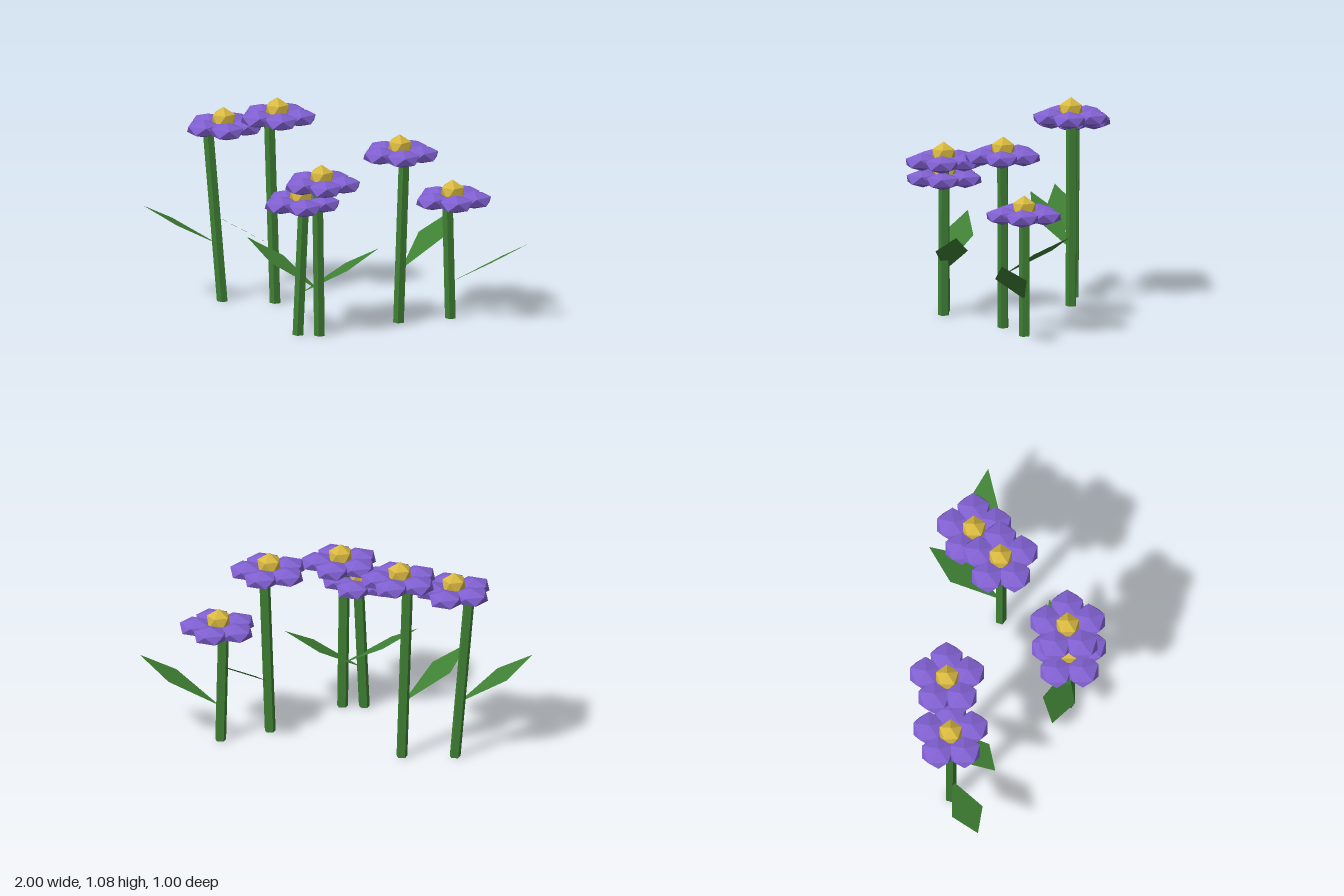
import * as THREE from 'three';

const mat = (name, color, side = THREE.FrontSide) => {
  const m = new THREE.MeshStandardMaterial({ color, side });
  m.name = name;
  return m;
};

// Faceted ball with a corner at the top and the upper ring pointing to +x
function facetedBall(radius, squash = 1) {
  const g = new THREE.IcosahedronGeometry(radius, 0);
  g.rotateX(-Math.atan((1 + Math.sqrt(5)) / 2));
  g.rotateY(Math.PI / 2);
  g.scale(1, squash, 1);
  g.computeVertexNormals();
  return g;
}

// Flat four-cornered leaf blade from base to tip, level across its width
function leafBlade(base, tip) {
  const b = new THREE.Vector3(...base), t = new THREE.Vector3(...tip);
  const axis = t.clone().sub(b);
  const across = new THREE.Vector3(axis.z, 0, -axis.x).setLength(0.083);
  const mid = b.clone().addScaledVector(axis, 0.59);
  const l = mid.clone().add(across), r = mid.clone().sub(across);
  const g = new THREE.BufferGeometry().setFromPoints([b, r, t, b, t, l]);
  g.computeVertexNormals();
  return g;
}

// Five-sided stem leaning sideways, with level ends
function stemPrism(height, lean) {
  const g = new THREE.CylinderGeometry(0.029, 0.029, height, 5).toNonIndexed();
  g.translate(0, height / 2, 0);
  const p = g.attributes.position;
  for (let i = 0; i < p.count; i++) p.setX(i, p.getX(i) + lean * p.getY(i) / height);
  g.computeVertexNormals();
  return g;
}

// Each flower: head position, stem foot and top x, leaf base and tip
const FLOWERS = [
  { head: [-0.61, 0.916, -0.3], foot: -0.615, top: -0.69, leaf: [[-0.63, 0.295, -0.295], [-1, 0.515, -0.17]] },
  { head: [-0.335, 0.975, -0.312], foot: -0.345, top: -0.375, leaf: [[-0.35, 0.295, -0.305], [-0.67, 0.532, -0.075]] },
  { head: [-0.105, 0.691, 0.312], foot: -0.12, top: -0.09, leaf: [[-0.11, 0.215, 0.31], [0.28, 0.447, 0.22]] },
  { head: [0, 0.794, 0.308], foot: -0.01, top: -0.02, leaf: [[-0.01, 0.235, 0.31], [-0.4, 0.477, 0.22]] },
  { head: [0.345, 0.884, -0.026], foot: 0.34, top: 0.37, leaf: [[0.35, 0.275, -0.03], [0.555, 0.507, -0.385]] },
  { head: [0.595, 0.624, -0.155], foot: 0.585, top: 0.57, leaf: [[0.59, 0.19, -0.155], [1, 0.427, -0.075]] },
];

export function createModel() {
  const green = mat('leaf green', 0x3f8034);
  const leafGreen = mat('leaf blade green', 0x3f8034, THREE.DoubleSide);
  const purple = mat('petal purple', 0x8060d0);
  const yellow = mat('centre yellow', 0xd8b840);
  const petalGeo = facetedBall(0.095, 0.48);
  const centreGeo = facetedBall(0.067);

  const model = new THREE.Group();
  model.name = 'flowers';
  const add = (parent, name, geo, material) => {
    const m = new THREE.Mesh(geo, material);
    m.name = name;
    parent.add(m);
    return m;
  };

  for (const { head, foot, top, leaf } of FLOWERS) {
    const flower = new THREE.Group();
    flower.name = 'flower';
    model.add(flower);

    add(flower, 'stem', stemPrism(head[1], top - foot), green).position.set(foot, 0, head[2]);
    add(flower, 'leaf', leafBlade(...leaf), leafGreen);

    // Blossom: five petals round a raised centre
    const blossom = new THREE.Group();
    blossom.name = 'blossom';
    blossom.position.set(...head);
    flower.add(blossom);
    for (let i = 0; i < 5; i++) {
      const a = (i / 5) * Math.PI * 2;
      const petal = add(blossom, 'petal', petalGeo, purple);
      petal.position.set(0.113 * Math.cos(a), 0, 0.113 * Math.sin(a));
      petal.rotation.y = -a;
    }
    add(blossom, 'centre', centreGeo, yellow).position.y = 0.034;
  }
  return model;
}
